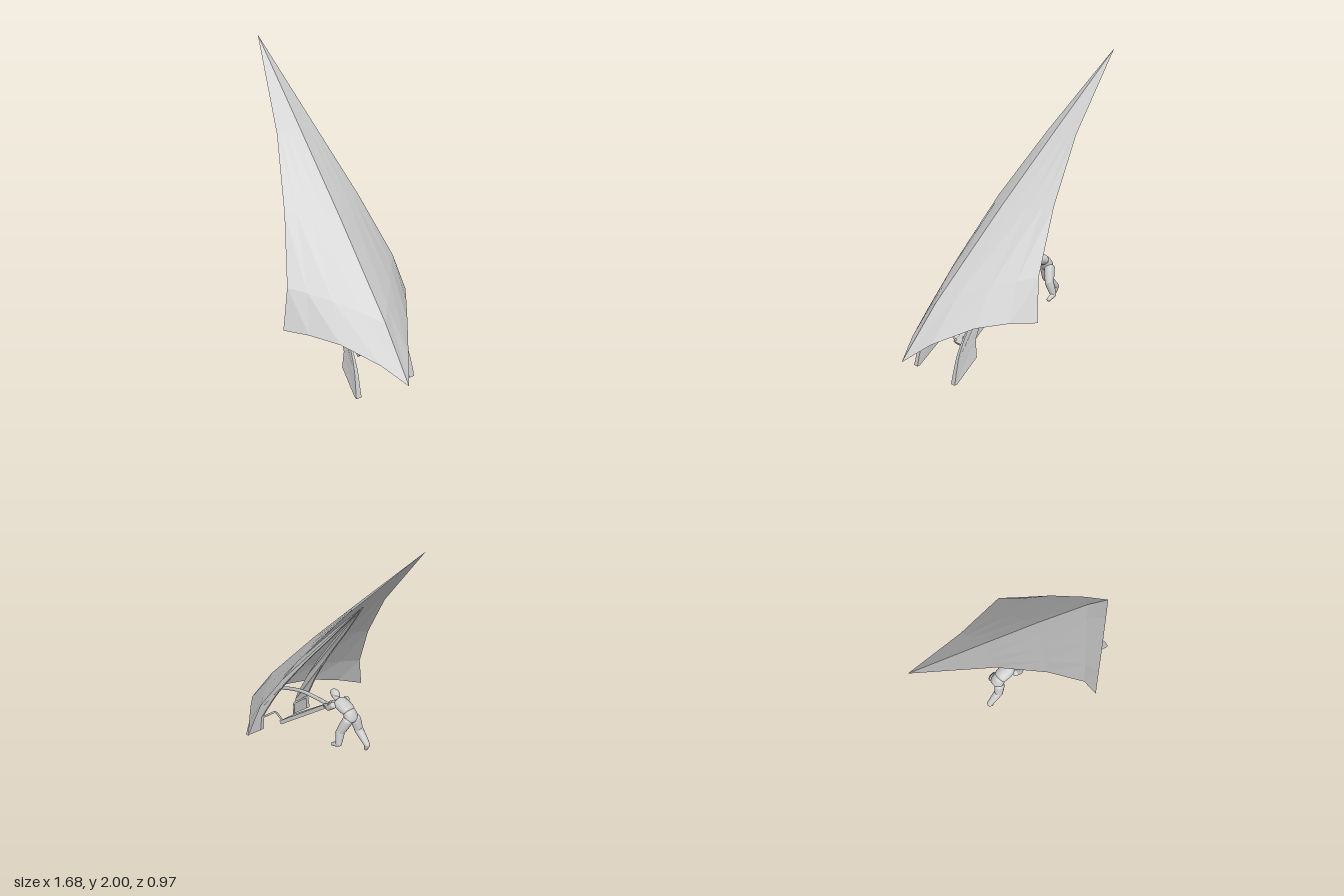
import * as THREE from 'three';

const grey = new THREE.MeshStandardMaterial({ color: 0xcccccc, side: THREE.DoubleSide });
const flat = new THREE.MeshStandardMaterial({ color: 0xcccccc, side: THREE.DoubleSide, flatShading: true });
const V = (a) => new THREE.Vector3(...a);

function add(parent, name, geometry, material = grey) {
  const mesh = new THREE.Mesh(geometry, material);
  mesh.name = name;
  parent.add(mesh);
  return mesh;
}

// Smooth tube through points
function tube(parent, name, pts, r) {
  const curve = new THREE.CatmullRomCurve3(pts.map(V));
  return add(parent, name, new THREE.TubeGeometry(curve, pts.length * 8, r, 8));
}

// Rounded, tapering limb between two points
function limb(parent, name, a, b, r0, r1) {
  const A = V(a), B = V(b), len = A.distanceTo(B);
  const profile = [];
  for (let i = 0; i <= 5; i++) {
    const t = -Math.PI / 2 + (i / 5) * Math.PI / 2;
    profile.push(new THREE.Vector2(Math.cos(t) * r0, Math.sin(t) * r0 * 0.7));
  }
  profile.push(new THREE.Vector2((r0 + r1) * 0.53, len * 0.45));
  for (let i = 0; i <= 5; i++) {
    const t = (i / 5) * Math.PI / 2;
    profile.push(new THREE.Vector2(Math.cos(t) * r1, len + Math.sin(t) * r1 * 0.7));
  }
  const mesh = add(parent, name, new THREE.LatheGeometry(profile, 14));
  mesh.position.copy(A);
  mesh.quaternion.setFromUnitVectors(new THREE.Vector3(0, 1, 0), B.sub(A).normalize());
  return mesh;
}

// One half of the sail: rows run from the leading edge to the sharp ridge
function sailHalf(side) {
  const ridge = [[-0.86, 2, 0], [-0.36, 1.485, 0], [0.1, 1.005, 0], [0.6, 0.455, 0], [0.846, 0.13, 0]];
  const edge = [[-0.86, 2, 0], [-0.396, 1.45, 0.151], [-0.098, 1.03, 0.291], [0.129, 0.63, 0.423], [0.19, 0.375, 0.495]];
  const cols = [0, 0.21, 0.46, 0.78, 1], arch = [0, 0.047, 0.078, 0.056, 0];
  const fullness = [0, 0, 0.08, 0.3, 1];
  const pos = [], index = [];
  for (let i = 0; i < 5; i++) for (let j = 0; j < 5; j++) {
    const p = V(edge[i]).lerp(V(ridge[i]), cols[j]);
    pos.push(p.x, p.y + arch[j] * fullness[i], p.z * side);
  }
  for (let i = 0; i < 4; i++) for (let j = 0; j < 4; j++) {
    const a = i * 5 + j, b = a + 1, c = a + 5, d = a + 6;
    const tris = i === 0 ? [[a, c, d]] : [[a, c, d], [a, d, b]];
    for (const t of tris) index.push(...(side > 0 ? t : [t[0], t[2], t[1]]));
  }
  const g = new THREE.BufferGeometry();
  g.setAttribute('position', new THREE.Float32BufferAttribute(pos, 3));
  g.setIndex(index);
  g.computeVertexNormals();
  return g;
}

// Long curved blade: a thick foot below, leaning in to the ridge above
function sparBlade(side) {
  const s = new THREE.Shape();
  s.moveTo(0.62, 0);
  s.splineThru([[0.57, 0.18], [0.48, 0.34], [0.31, 0.6], [0.09, 0.89], [-0.14, 1.17], [-0.37, 1.44]]
    .map((p) => new THREE.Vector2(...p)));
  s.splineThru([[-0.15, 1.14], [0.07, 0.85], [0.27, 0.56], [0.37, 0.39], [0.445, 0.25]]
    .map((p) => new THREE.Vector2(...p)));
  s.lineTo(0.447, 0.14);
  s.lineTo(0.6, 0.005);
  const g = new THREE.ExtrudeGeometry(s, { depth: 1, bevelEnabled: false, curveSegments: 18 });
  const p = g.attributes.position;
  for (let i = 0; i < p.count; i++) {
    const y = Math.max(p.getY(i), 0);
    const lean = 0.214 * (1 - Math.pow(y / 1.45, 1.5));
    const thick = 0.014 + 0.026 * Math.max(0, 1 - y / 0.3);
    p.setZ(i, (p.getZ(i) - 0.5) * thick + side * lean);
  }
  g.computeVertexNormals();
  return g;
}

// Tapered plank running from the low front end up to the handle
function plank() {
  const s = new THREE.Shape();
  s.moveTo(0, -0.07);
  s.lineTo(0.3, -0.04);
  s.lineTo(0.64, -0.012);
  s.lineTo(0.64, 0.012);
  s.lineTo(0.3, 0.04);
  s.lineTo(0, 0.07);
  const g = new THREE.ExtrudeGeometry(s, { depth: 0.028, bevelEnabled: false });
  g.rotateX(-Math.PI / 2);
  g.rotateZ(Math.PI - Math.atan2(0.41, 0.49));
  // after the turn the thickness hangs below the top line
  g.translate(0.425, 0.163, 0);
  return g;
}

function buildFigure() {
  const f = new THREE.Group();
  f.name = 'figure';
  limb(f, 'hips', [-0.285, 0.565, 0], [-0.265, 0.605, 0], 0.038, 0.036).scale.z = 1.25;
  limb(f, 'torso', [-0.25, 0.615, 0], [-0.17, 0.632, 0], 0.036, 0.038).scale.z = 1.35;
  limb(f, 'neck', [-0.15, 0.638, 0], [-0.11, 0.65, 0], 0.018, 0.017);
  const head = add(f, 'head', new THREE.SphereGeometry(0.033, 18, 12));
  head.scale.set(1.2, 0.9, 0.85);
  head.rotation.z = 0.3;
  head.position.set(-0.102, 0.658, 0.012);
  for (const s of [1, -1]) {
    limb(f, 'upperArm', [-0.165, 0.63, s * 0.055], [-0.12, 0.585, s * 0.062], 0.022, 0.017);
    limb(f, 'forearm', [-0.12, 0.585, s * 0.062], [-0.06, 0.56, s * 0.03], 0.016, 0.011);
    limb(f, 'hand', [-0.06, 0.56, s * 0.03], [-0.035, 0.545, s * 0.022], 0.013, 0.01);
  }
  const legs = [
    { hip: [-0.29, 0.56, 0.028], knee: [-0.31, 0.48, 0.04], ankle: [-0.4, 0.4, 0.04], toe: [-0.385, 0.36, 0.042] },
    { hip: [-0.28, 0.56, -0.03], knee: [-0.25, 0.47, -0.065], ankle: [-0.265, 0.39, -0.09], toe: [-0.215, 0.365, -0.1] },
  ];
  for (const l of legs) {
    limb(f, 'thigh', l.hip, l.knee, 0.035, 0.029);
    limb(f, 'shin', l.knee, l.ankle, 0.03, 0.02);
    limb(f, 'foot', l.ankle, l.toe, 0.018, 0.013);
  }
  return f;
}

export function createModel() {
  const model = new THREE.Group();
  model.name = 'gliderSail';
  // The craft is symmetric about its own length and turned slightly
  const craft = new THREE.Group();
  craft.name = 'craft';
  craft.rotation.y = -0.177;
  craft.position.set(0.007, 0, -0.039);
  model.add(craft);

  for (const s of [1, -1]) {
    const tag = s > 0 ? 'Left' : 'Right';
    add(craft, 'sail' + tag, sailHalf(s), flat);
    add(craft, 'sparBlade' + tag, sparBlade(s), flat);
    // Axle from the blade inward, bent down to the plank
    tube(craft, 'axle' + tag, [[0.455, 0.235, s * 0.205], [0.455, 0.235, s * 0.14], [0.45, 0.233, s * 0.085], [0.435, 0.205, s * 0.068], [0.415, 0.17, s * 0.055]], 0.007);
  }
  // Arched boom along the middle, from under the sail back to the handle
  tube(craft, 'boom', [[0.53, 0.365, 0], [0.38, 0.44, 0], [0.23, 0.497, 0], [0.08, 0.527, 0], [-0.06, 0.547, 0]], 0.013);
  add(craft, 'plank', plank(), flat);
  tube(craft, 'handle', [[-0.05, 0.55, 0.045], [-0.055, 0.55, 0], [-0.05, 0.55, -0.045]], 0.008);
  craft.add(buildFigure());
  return model;
}
